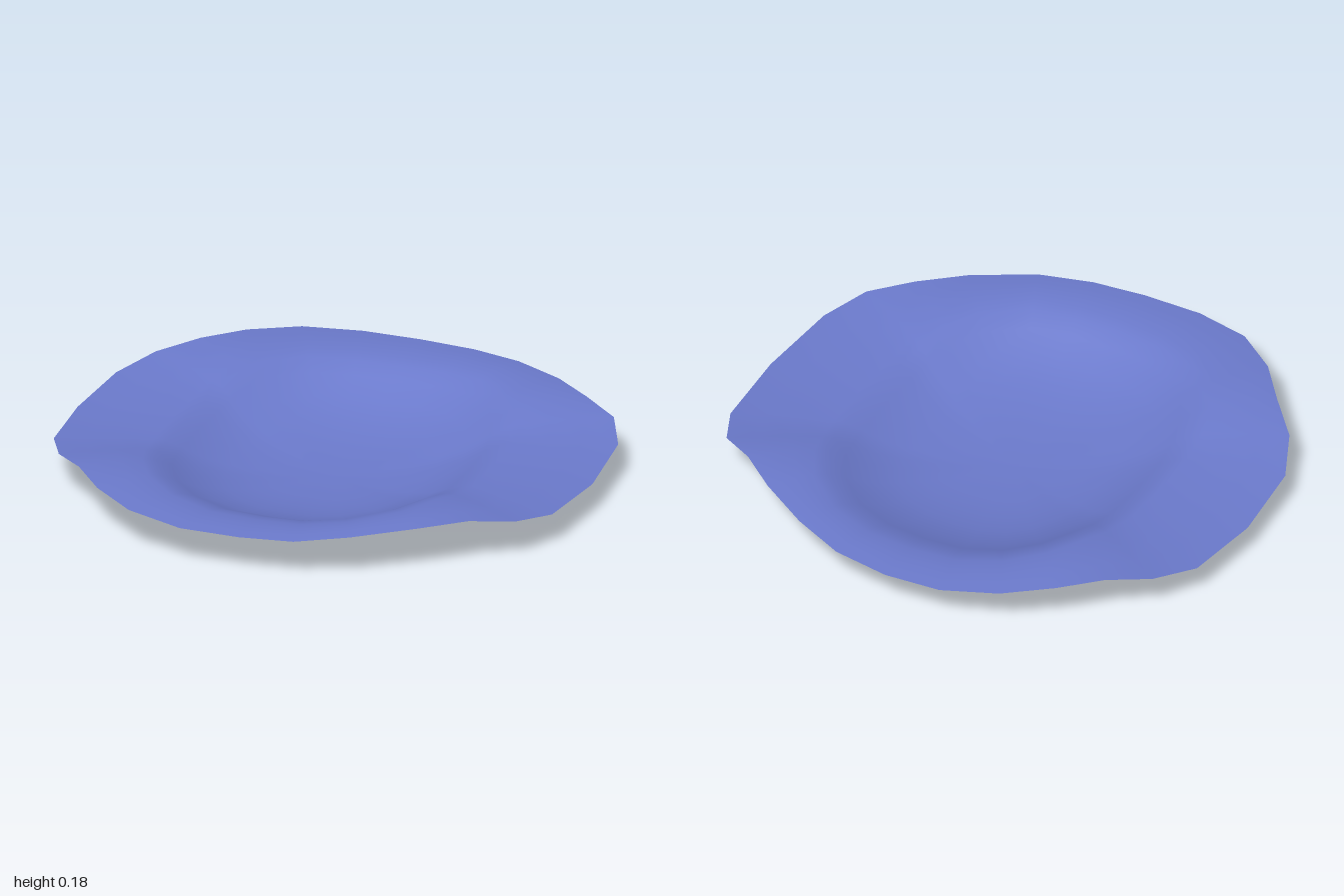
import * as THREE from 'three';

// Rim of the sheet, clockwise from the back seen from above: x, y, z
const RIM = [
  [-0.02, 0.145, -0.98], [0.2, 0.15, -0.95], [0.4, 0.165, -0.87], [0.6, 0.175, -0.75],
  [0.75, 0.175, -0.63], [0.89, 0.15, -0.54], [0.97, 0.122, -0.37], [1, 0.11, -0.02],
  [0.97, 0.122, 0.32], [0.89, 0.15, 0.49], [0.75, 0.175, 0.6], [0.6, 0.175, 0.73],
  [0.39, 0.165, 0.87], [0.2, 0.15, 0.945], [0, 0.148, 0.97], [-0.23, 0.15, 0.97],
  [-0.45, 0.165, 0.91], [-0.62, 0.175, 0.78], [-0.75, 0.175, 0.62], [-0.88, 0.15, 0.48],
  [-0.97, 0.122, 0.29], [-1, 0.11, -0.04], [-0.97, 0.122, -0.36], [-0.88, 0.15, -0.53],
  [-0.75, 0.175, -0.65], [-0.62, 0.175, -0.78], [-0.45, 0.165, -0.9], [-0.24, 0.15, -0.97],
];
// Bowl section: share of the lip radius, share of the lip height
const BOWL = [[0.3, 0.06], [0.45, 0.14], [0.58, 0.25], [0.73, 0.44], [0.86, 0.74], [0.95, 0.93], [1.02, 1]];
// Flange section: share of the way from lip to rim
const FLANGE = [0.33, 0.66, 1];

// Lip of the bowl: a rounded rectangle, in the direction of a rim point
function lipPoint([x, y, z]) {
  const p = 2.7;
  const k = 1 / Math.pow(Math.pow(Math.abs(x) / 0.61, p) + Math.pow(Math.abs(z) / 0.78, p), 1 / p);
  return [x * k, Math.max(y, 0.133), z * k];
}

export function createModel() {
  const group = new THREE.Group();
  const n = RIM.length;
  const positions = [0, 0, 0];
  const index = [];

  // Rings from the floor of the bowl out to the lip
  for (const [r, h] of BOWL) {
    for (const point of RIM) {
      const [x, y, z] = lipPoint(point);
      positions.push(x * r, y * h, z * r);
    }
  }
  // Rings across the drooping flange, with a slight crown
  for (const t of FLANGE) {
    for (const point of RIM) {
      const lip = lipPoint(point);
      const mix = (i) => THREE.MathUtils.lerp(lip[i] * (i === 1 ? 1 : 1.02), point[i], t);
      positions.push(mix(0), mix(1) + 0.02 * t * (1 - t), mix(2));
    }
  }

  // Join the centre fan and the rings
  const rings = BOWL.length + FLANGE.length;
  for (let j = 0; j < n; j++) {
    const k = (j + 1) % n;
    index.push(0, 1 + k, 1 + j);
    for (let i = 0; i < rings - 1; i++) {
      const a = 1 + i * n, b = a + n;
      index.push(a + j, a + k, b + k, a + j, b + k, b + j);
    }
  }

  const geometry = new THREE.BufferGeometry();
  geometry.setAttribute('position', new THREE.Float32BufferAttribute(positions, 3));
  geometry.setIndex(index);
  geometry.computeVertexNormals();

  const dish = new THREE.Mesh(
    geometry,
    new THREE.MeshStandardMaterial({ color: 0x6b7acc, side: THREE.DoubleSide })
  );
  dish.name = 'shallowDish';
  group.add(dish);
  return group;
}
